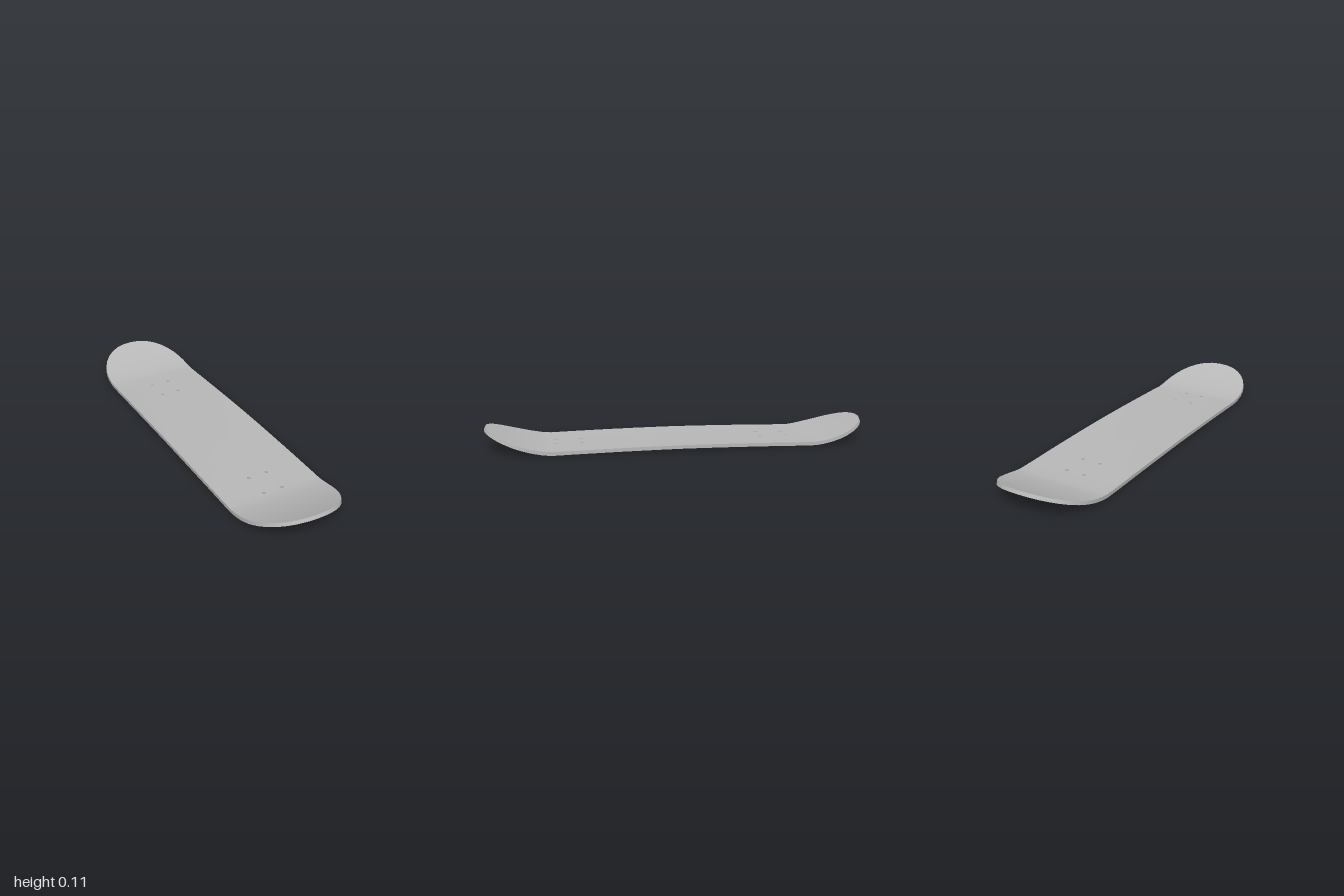
import * as THREE from 'three';
import { mergeVertices } from 'three/addons/utils/BufferGeometryUtils.js';

const HALF = 0.253, STRAIGHT = 0.72, THICK = 0.018;
const KICK_START = 0.66, KICK_RISE = 0.098, KICK_POWER = 1.6;
const HOLE_R = 0.009, CELL = 0.02;
const HOLES = [];
for (const z of [-0.575, -0.44, 0.505, 0.64]) for (const x of [-0.05, 0.05]) HOLES.push([x, z]);

// Half width of the board: almost straight rails, rounded nose and tail
function halfWidth(z) {
  const a = Math.abs(z);
  if (a <= STRAIGHT) return HALF - 0.003 * (a / STRAIGHT) ** 2;
  const t = Math.min(1, (a - STRAIGHT) / (1 - STRAIGHT));
  return 0.25 * Math.max(0, 1 - t ** 2.2) ** (1 / 2.2);
}

// Bends a flat board point (s across, z along) onto the lower or upper skin
function place(s, z, upper) {
  const a = Math.abs(z), x = s * halfWidth(z) / HALF;
  const camber = 0.008 * Math.max(0, 1 - (a / KICK_START) ** 2);
  const t = Math.max(0, (a - KICK_START) / (1 - KICK_START));
  const concave = 0.004 * (x / HALF) ** 4 * Math.max(0, 1 - a);
  const y = 0.002 + camber + concave + KICK_RISE * t ** KICK_POWER;
  if (!upper) return [x, y, z];
  const slope = Math.atan(KICK_RISE * KICK_POWER / (1 - KICK_START) * t ** (KICK_POWER - 1));
  return [x, y + THICK * Math.cos(slope), z - Math.sign(z) * THICK * Math.sin(slope)];
}

// Circle of points round a bolt hole
function holeLoop([x, z]) {
  return Array.from({ length: 12 }, (_, i) => {
    const a = -i * Math.PI / 6;
    return new THREE.Vector2(x + HOLE_R * Math.cos(a), z + HOLE_R * Math.sin(a));
  });
}

function smoothGeometry(positions) {
  const g = new THREE.BufferGeometry();
  g.setAttribute('position', new THREE.Float32BufferAttribute(positions, 3));
  const merged = mergeVertices(g, 1e-5);
  merged.computeVertexNormals();
  return merged;
}

// Grid lines along and across the board, with a small cell round each hole
function gridLines() {
  const rows = [-0.68, -0.5, -0.34, -0.22, -0.1, 0, 0.1, 0.22, 0.34, 0.42, 0.57, 0.69];
  for (const z of new Set(HOLES.map(h => h[1]))) rows.push(z - CELL, z + CELL);
  for (let i = 0; i <= 9; i++) {
    const z = STRAIGHT + (1 - STRAIGHT) * Math.sin(i / 9 * Math.PI / 2);
    rows.push(z, -z);
  }
  rows.sort((a, b) => a - b);
  const cols = [-HALF, -0.2, -0.13, -0.07, -0.03, 0, 0.03, 0.07, 0.13, 0.2, HALF];
  return { rows, cols };
}

// One skin of the board, pierced by the bolt holes
function skin({ rows, cols }, upper) {
  const out = [];
  const tri = (a, b, c) => {
    for (const p of upper ? [a, c, b] : [a, b, c]) out.push(...place(p.x, p.y, upper));
  };
  for (let j = 0; j < rows.length - 1; j++) {
    for (let i = 0; i < cols.length - 1; i++) {
      const [x0, x1, z0, z1] = [cols[i], cols[i + 1], rows[j], rows[j + 1]];
      const c = [[x0, z0], [x1, z0], [x1, z1], [x0, z1]].map(p => new THREE.Vector2(...p));
      const hole = HOLES.find(h => h[0] > x0 && h[0] < x1 && h[1] > z0 && h[1] < z1);
      if (!hole) {
        tri(c[0], c[1], c[2]);
        tri(c[0], c[2], c[3]);
        continue;
      }
      const shape = new THREE.Shape(c);
      shape.holes.push(new THREE.Path(holeLoop(hole)));
      const g = new THREE.ShapeGeometry(shape), p = g.attributes.position, ix = g.index;
      const at = k => new THREE.Vector2().fromBufferAttribute(p, ix.getX(k));
      for (let k = 0; k < ix.count; k += 3) tri(at(k), at(k + 1), at(k + 2));
    }
  }
  return smoothGeometry(out);
}

// Wall joining the lower and upper skin along a closed loop
function wall(loop) {
  const out = [];
  loop.forEach((a, i) => {
    const b = loop[(i + 1) % loop.length];
    const [aB, aT] = [place(a.x, a.y, false), place(a.x, a.y, true)];
    const [bB, bT] = [place(b.x, b.y, false), place(b.x, b.y, true)];
    out.push(...aB, ...aT, ...bB, ...bB, ...aT, ...bT);
  });
  return smoothGeometry(out);
}

export function createModel() {
  const grey = new THREE.MeshStandardMaterial({ color: 0xb8b8b8 });
  grey.name = 'deckGrey';
  const group = new THREE.Group();
  group.name = 'skateboardDeck';
  const add = (name, geometry) => {
    const mesh = new THREE.Mesh(geometry, grey);
    mesh.name = name;
    group.add(mesh);
  };

  const grid = gridLines();
  add('deckTop', skin(grid, true));
  add('deckUnderside', skin(grid, false));

  // Outer edge runs up the left rail and back down the right
  const left = grid.rows.map(z => new THREE.Vector2(HALF, z));
  const right = grid.rows.map(z => new THREE.Vector2(-HALF, z)).reverse();
  add('deckEdge', wall([...left, ...right]));

  HOLES.forEach((h, i) => add('boltHole' + (i + 1), wall(holeLoop(h))));
  return group;
}
